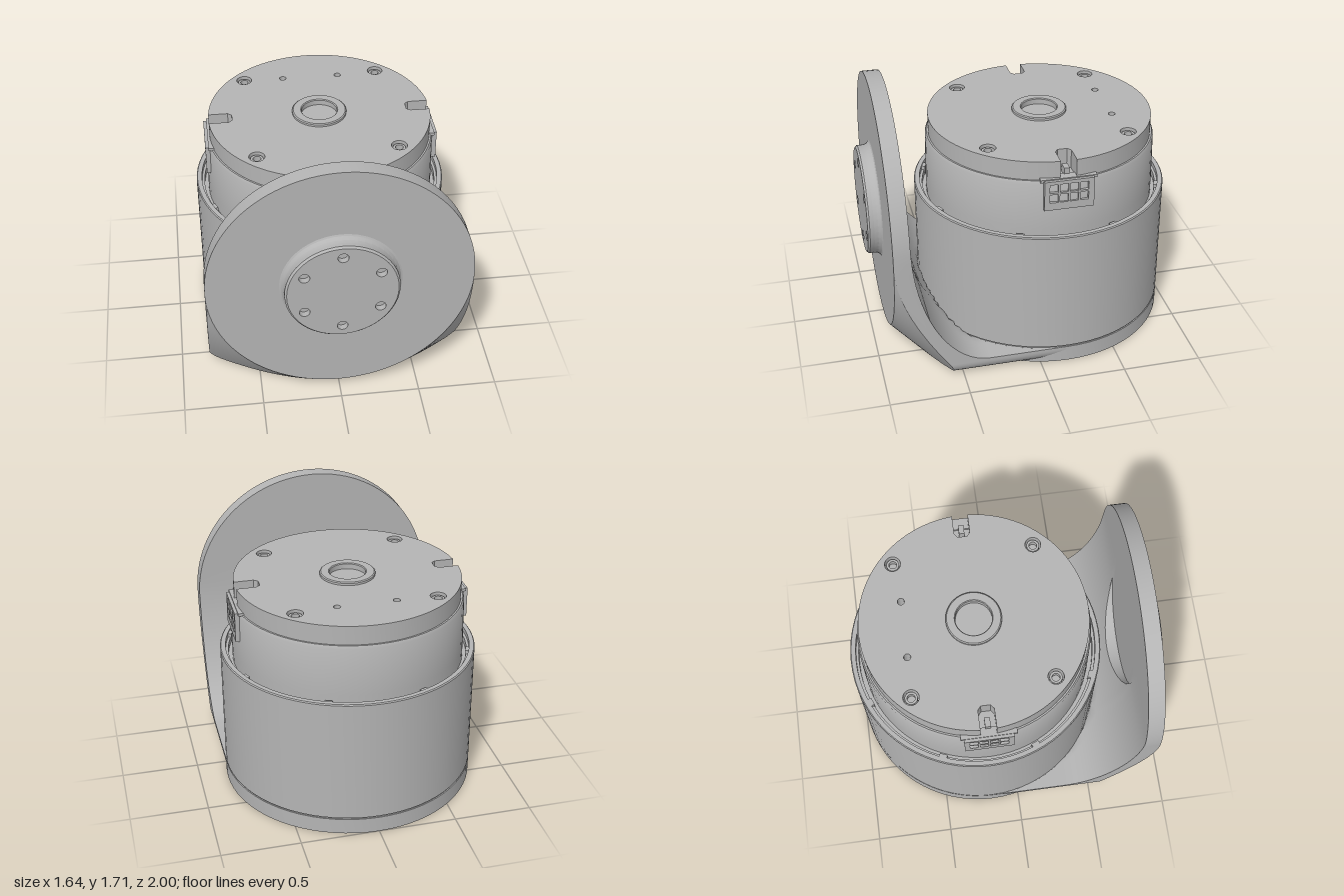
import * as THREE from 'three';
import { toCreasedNormals } from 'three/addons/utils/BufferGeometryUtils.js';

const grey = new THREE.MeshStandardMaterial({ color: 0xb4b4b4 });
grey.name = 'machined grey';

const R = 0.82;        // body and plate radius
const AXIS_Z = -0.18;  // motor axis
const HUB_Y = 0.885;   // output hub height

function add(parent, name, geometry) {
  const mesh = new THREE.Mesh(geometry, grey);
  mesh.name = name;
  parent.add(mesh);
  return mesh;
}

function lathe(points, segments = 72) {
  const g = new THREE.LatheGeometry(points.map(([r, y]) => new THREE.Vector2(r, y)), segments);
  return toCreasedNormals(g, 0.5);
}

function circlePath(x, y, r) {
  return new THREE.Path().absarc(x, y, r, 0, Math.PI * 2, true);
}

function disc(r) {
  return new THREE.Shape().absarc(0, 0, r, 0, Math.PI * 2, false);
}

// evenly spaced points on a circle, first angle in degrees
function ring(count, r, start) {
  return Array.from({ length: count }, (_, i) => {
    const a = THREE.MathUtils.degToRad(start + (i * 360) / count);
    return [r * Math.cos(a), r * Math.sin(a)];
  });
}

function extrude(shape, depth, curveSegments = 24) {
  return toCreasedNormals(new THREE.ExtrudeGeometry(shape, { depth, bevelEnabled: false, curveSegments }), 0.5);
}

// horizontal plate between two heights; shape y becomes -z
function slab(shape, y0, y1) {
  return extrude(shape, y1 - y0, 36).rotateX(-Math.PI / 2).translate(0, y0, 0);
}

// side outline of the bracket at one x, as [z, y]
function bracketSection(x) {
  const half = Math.sqrt(Math.max(0, R * R - x * x));
  const back = AXIS_Z + half;
  const corner = Math.max(0, Math.abs(x) - (R - 0.09));
  const bottom = 0.09 - Math.sqrt(Math.max(0, 0.0081 - corner * corner));
  const top = HUB_Y + half;
  const cone = y => 0.91 - Math.max(0, Math.hypot(x, y - HUB_Y) - R);
  const inPocket = Math.abs(x) < 0.37;
  const pocketY = inPocket ? HUB_Y - Math.sqrt(0.1369 - x * x) : HUB_Y;
  const inner = y => 0.33 + 0.475 * Math.sqrt(Math.max(0, 1 - ((1 - Math.min(y, 1)) / 0.895) ** 2));
  const pts = [[back, bottom]];
  // chamfer cone, then the flat round face
  for (let i = 0; i <= 8; i++) {
    const y = THREE.MathUtils.lerp(bottom, HUB_Y - half, i / 8);
    pts.push([cone(y), y]);
  }
  pts.push([0.91, top]);
  // back of the plate down to the pocket edge
  for (let i = 0; i <= 5; i++) {
    const y = THREE.MathUtils.lerp(top, pocketY, i / 5);
    pts.push([inPocket ? 0.805 : inner(y), y]);
  }
  // sweeping inside curve
  const a0 = Math.asin((1 - pocketY) / 0.895);
  for (let i = 0; i <= 16; i++) {
    const y = 1 - 0.895 * Math.sin(THREE.MathUtils.lerp(a0, Math.PI / 2, i / 16));
    pts.push([Math.max(inner(y), back), y]);
  }
  pts.push([back, 0.105]);
  return pts;
}

function bracketGeometry() {
  const steps = 52, position = [], index = [];
  let n = 0, first;
  for (let i = 0; i <= steps; i++) {
    const x = -R * Math.cos((Math.PI * i) / steps);
    const section = bracketSection(x);
    n = section.length;
    first ??= section;
    for (const [z, y] of section) position.push(x, y, z);
  }
  for (let i = 0; i < steps; i++) {
    for (let j = 0; j < n; j++) {
      const a = i * n + j, a1 = i * n + ((j + 1) % n);
      index.push(a, a + n, a1, a + n, a1 + n, a1);
    }
  }
  // flat sides
  const faces = THREE.ShapeUtils.triangulateShape(first.map(p => new THREE.Vector2(...p)), []);
  for (const [a, b, c] of faces) {
    index.push(a, b, c, steps * n + a, steps * n + c, steps * n + b);
  }
  const g = new THREE.BufferGeometry();
  g.setAttribute('position', new THREE.Float32BufferAttribute(position, 3));
  g.setIndex(index);
  return toCreasedNormals(g, 0.5);
}

export function createModel() {
  const model = new THREE.Group();
  model.name = 'motorWithBracket';
  add(model, 'bracket', bracketGeometry());

  // output hub on the round plate
  const hub = new THREE.Group();
  hub.name = 'hub';
  hub.position.set(0, HUB_Y, 0);
  model.add(hub);
  add(hub, 'hubCollar', lathe([[0.385, 0.905], [0.365, 0.915], [0.352, 0.935], [0.35, 0.96], [0, 0.96]], 48).rotateX(Math.PI / 2));
  const hubShape = disc(0.338);
  for (const [x, y] of ring(6, 0.267, 90)) hubShape.holes.push(circlePath(x, y, 0.033));
  add(hub, 'hubFace', extrude(hubShape, 0.045).translate(0, 0, 0.955));
  add(hub, 'hubRim', lathe([[0.35, 0.95], [0.35, 0.988], [0.338, 1.0]], 48).rotateX(Math.PI / 2));

  const motor = new THREE.Group();
  motor.name = 'motor';
  motor.position.z = AXIS_Z;
  model.add(motor);

  // base ring with mounting holes
  const base = disc(R);
  base.holes.push(circlePath(0, 0, 0.615));
  for (const [x, z] of ring(8, 0.72, 22.5)) {
    base.holes.push(circlePath(x, -z, 0.05));
    add(motor, 'baseScrew', new THREE.CylinderGeometry(0.035, 0.035, 0.07, 16)).position.set(x, 0.07, z);
  }
  add(motor, 'baseRing', slab(base, 0, 0.105));

  // rotor ring with alternating large and small holes
  const rotor = disc(0.6);
  rotor.holes.push(circlePath(0, 0, 0.355));
  ring(12, 0.485, 15).forEach(([x, z], i) => rotor.holes.push(circlePath(x, -z, i % 2 ? 0.025 : 0.038)));
  add(motor, 'rotorRing', slab(rotor, 0.006, 0.11));

  // lower housing, rim groove and upper housing
  add(motor, 'housing', lathe([
    [0, 0.22], [0.355, 0.22], [0.355, 0.1], [0.812, 0.1], [0.812, 0.112], [R, 0.116],
    [R, 0.925], [0.814, 0.932], [0.785, 0.932], [0.785, 0.9], [0.768, 0.9], [0.768, 0.86], [0.742, 0.86],
    [0.742, 0.95], [0.737, 1.26], [0.728, 1.278], [0, 1.282],
  ]));
  for (const [x, z] of ring(8, 0.777, 22.5)) {
    const tab = add(motor, 'rimTab', new THREE.BoxGeometry(0.03, 0.05, 0.05));
    tab.position.set(x, 0.9, z);
    tab.rotation.y = -Math.atan2(z, x);
  }

  // cap with a cable notch on each side
  const capR = 0.717, a = Math.asin(0.05 / capR);
  const cap = new THREE.Shape();
  cap.absarc(0, 0, capR, a, Math.PI - a, false);
  cap.lineTo(-0.59, 0.05).lineTo(-0.565, 0.03).lineTo(-0.565, -0.03).lineTo(-0.59, -0.05);
  cap.absarc(0, 0, capR, Math.PI + a, Math.PI * 2 - a, false);
  cap.lineTo(0.59, -0.05).lineTo(0.565, -0.03).lineTo(0.565, 0.03).lineTo(0.59, 0.05);
  cap.closePath();
  cap.holes.push(circlePath(0, 0, 0.115));
  for (const [x, z] of [[-0.455, -0.44], [0.435, -0.46], [0.45, 0.435], [-0.44, 0.45]]) {
    cap.holes.push(circlePath(x, -z, 0.05));
    add(motor, 'capScrew', lathe([[0.04, 1.28], [0.04, 1.385], [0.025, 1.385], [0.025, 1.35], [0, 1.35]], 20)).position.set(x, 0, z);
  }
  for (const x of [-0.195, 0.175]) cap.holes.push(circlePath(x, 0.435, 0.022));
  add(motor, 'cap', slab(cap, 1.278, 1.4));
  add(motor, 'capBoss', lathe([[0.175, 1.395], [0.175, 1.414], [0.168, 1.42], [0.12, 1.42], [0.115, 1.414], [0.115, 1.38], [0, 1.38]], 48));

  // side connectors, each with two rows of sockets
  for (const side of [1, -1]) {
    const connector = new THREE.Group();
    connector.name = side > 0 ? 'leftConnector' : 'rightConnector';
    connector.rotation.y = (side * Math.PI) / 2;
    motor.add(connector);
    const frame = new THREE.Shape([[-0.155, 1.09], [0.155, 1.09], [0.155, 1.285], [-0.155, 1.285]].map(p => new THREE.Vector2(...p)));
    for (let i = 0; i < 4; i++) {
      for (const y of [1.14, 1.207]) {
        const x = -0.122 + i * 0.063;
        frame.holes.push(new THREE.Path([[x, y], [x, y + 0.055], [x + 0.052, y + 0.055], [x + 0.052, y]].map(p => new THREE.Vector2(...p))));
      }
    }
    add(connector, 'socketFrame', extrude(frame, 0.04).translate(0, 0, 0.709));
    add(connector, 'connectorFlange', new THREE.BoxGeometry(0.35, 0.018, 0.06)).position.set(0, 1.283, 0.7);
    add(connector, 'cableClip', new THREE.BoxGeometry(0.035, 0.05, 0.06)).position.set(0, 1.305, 0.65);
  }
  return model;
}
